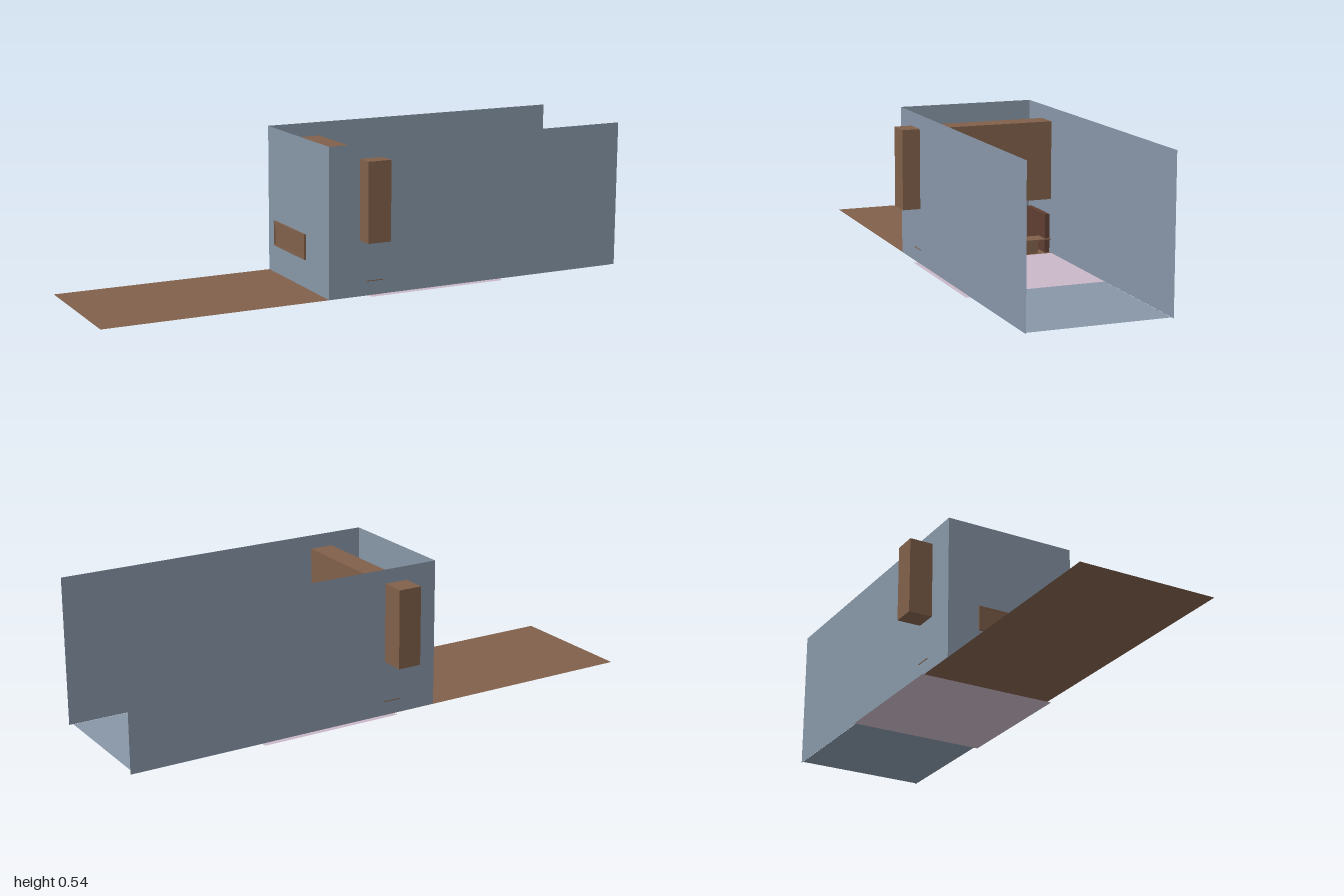
import * as THREE from 'three';

const flat = (name, color, side = THREE.FrontSide) => {
  const m = new THREE.MeshStandardMaterial({ color, side });
  m.name = name;
  return m;
};

export function createModel() {
  const group = new THREE.Group();
  const blue = flat('slateBlue', 0x8796a7, THREE.DoubleSide);
  const brown = flat('woodBrown', 0x80604a, THREE.DoubleSide);
  const pink = flat('palePink', 0xc9b7c7, THREE.DoubleSide);
  const dark = flat('darkWood', 0x5f3f33);

  const add = (name, geometry, material) => {
    const mesh = new THREE.Mesh(geometry, material);
    mesh.name = name;
    group.add(mesh);
    return mesh;
  };
  // Box given by its limits on each axis
  const box = (name, [x0, x1], [y0, y1], [z0, z1], material) =>
    add(name, new THREE.BoxGeometry(x1 - x0, y1 - y0, z1 - z0), material)
      .position.set((x0 + x1) / 2, (y0 + y1) / 2, (z0 + z1) / 2);
  // Horizontal sheet
  const sheet = (name, [x0, x1], y, [z0, z1], material) =>
    add(name, new THREE.PlaneGeometry(x1 - x0, z1 - z0).rotateX(-Math.PI / 2), material)
      .position.set((x0 + x1) / 2, y, (z0 + z1) / 2);

  const depth = [-0.237, 0.262];

  // Floor in three sections, the middle one slightly wider and lower
  sheet('rearFloor', [-1, 0.03], 0.004, depth, brown);
  sheet('middleFloor', [-0.02, 0.51], 0, [-0.248, 0.272], pink);
  sheet('outerFloor', [0.49, 0.985], 0.004, depth, blue);

  // Two long walls and the end wall
  for (const z of depth) {
    add('sideWall', new THREE.PlaneGeometry(1.18, 0.533), blue).position.set(0.41, 0.271, z);
  }
  add('endWall', new THREE.PlaneGeometry(0.499, 0.533).rotateY(-Math.PI / 2), blue)
    .position.set(-0.18, 0.271, 0.0125);

  // Heavy beam running through both walls
  box('crossBeam', [-0.062, 0.025], [0.203, 0.487], [-0.326, 0.326], brown);

  // Low step with its riser and three slats
  box('stepTop', [-0.035, 0.03], [0.054, 0.057], [-0.239, 0.264], brown);
  box('stepRiser', [0.008, 0.024], [0.005, 0.053], [-0.188, 0.216], brown);
  for (let i = 0; i < 3; i++) {
    const y = 0.006 + i * 0.0165;
    box('slat', [0.024, 0.028], [y, y + 0.011], [0.046, 0.215], brown);
  }

  // Upright cheeks beside the step
  box('leftCheek', [-0.15, 0.02], [0.01, 0.155], [0.243, 0.26], dark);
  box('rightCheek', [-0.15, 0.02], [0.005, 0.147], [-0.234, -0.216], dark);

  // Plaque on the outside of the end wall: panel and slim rim
  box('plaque', [-0.206, -0.202], [0.12, 0.21], [-0.13, 0.125], brown);
  for (const y of [0.12, 0.204]) box('plaqueRim', [-0.209, -0.206], [y, y + 0.006], [-0.13, 0.125], brown);
  for (const z of [-0.13, 0.119]) box('plaqueRim', [-0.209, -0.206], [0.126, 0.204], [z, z + 0.006], brown);

  return group;
}
